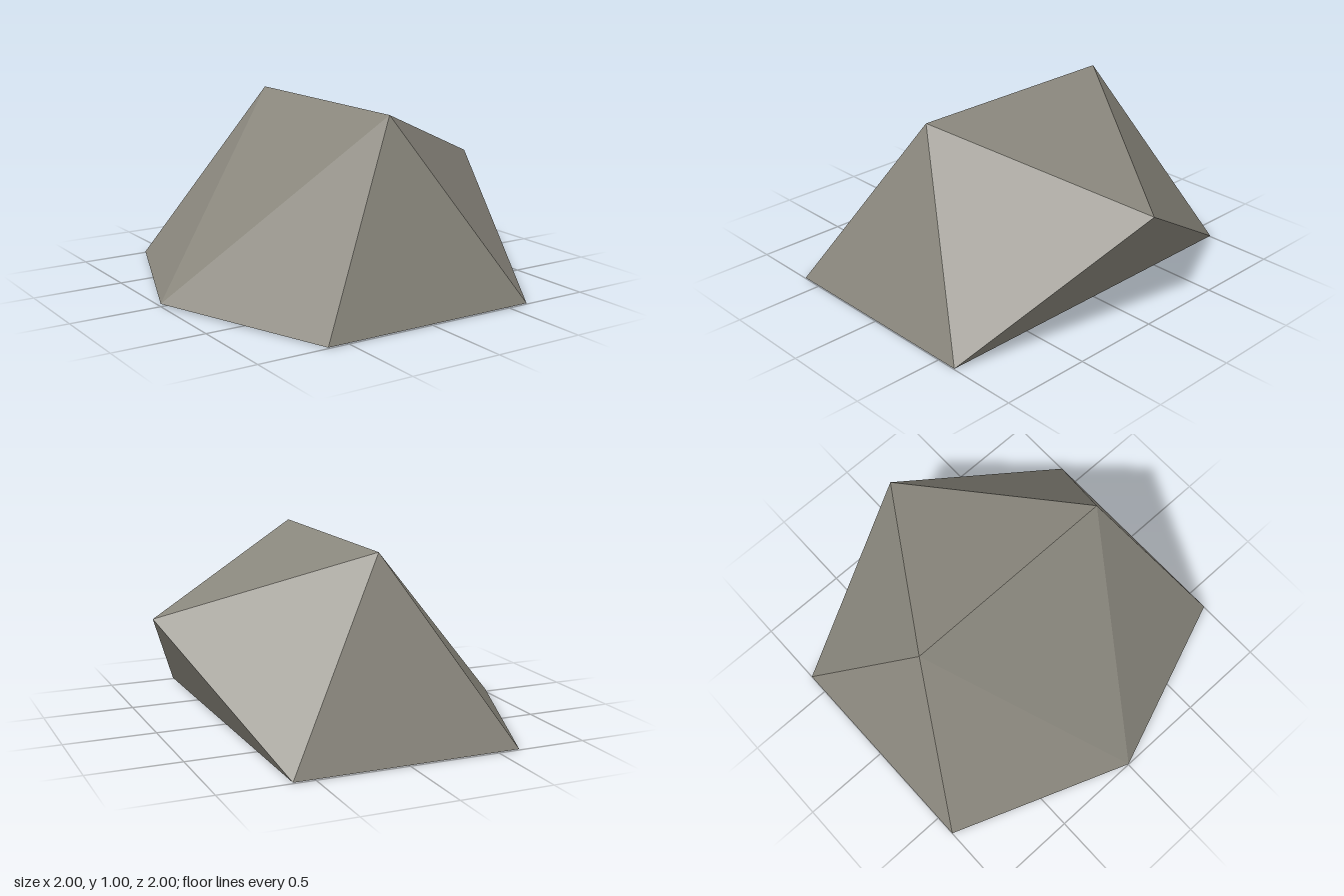
import * as THREE from 'three';
import { ConvexGeometry } from 'three/addons/geometries/ConvexGeometry.js';

// A faceted boulder: the upper half of an icosahedron with one side slumped to the ground.
export function createModel() {
  const stone = new THREE.MeshStandardMaterial({ color: 0x8a877d });
  stone.name = 'stone grey';

  const s = 0.618;
  const points = [
    new THREE.Vector3(1, s, 0), // raised side
    new THREE.Vector3(-1, 0.015, 0), // slumped side
  ];
  for (const side of [-1, 1]) {
    points.push(
      new THREE.Vector3(0, 1, side * s), // ridge end
      new THREE.Vector3(-s, 0.005, side), // ground corners
      new THREE.Vector3(s, 0.005, side),
      new THREE.Vector3(0, 0, side * s), // underside
    );
  }

  const boulder = new THREE.Mesh(new ConvexGeometry(points), stone);
  boulder.name = 'boulder';

  const group = new THREE.Group();
  group.name = 'rock';
  group.add(boulder);
  return group;
}
